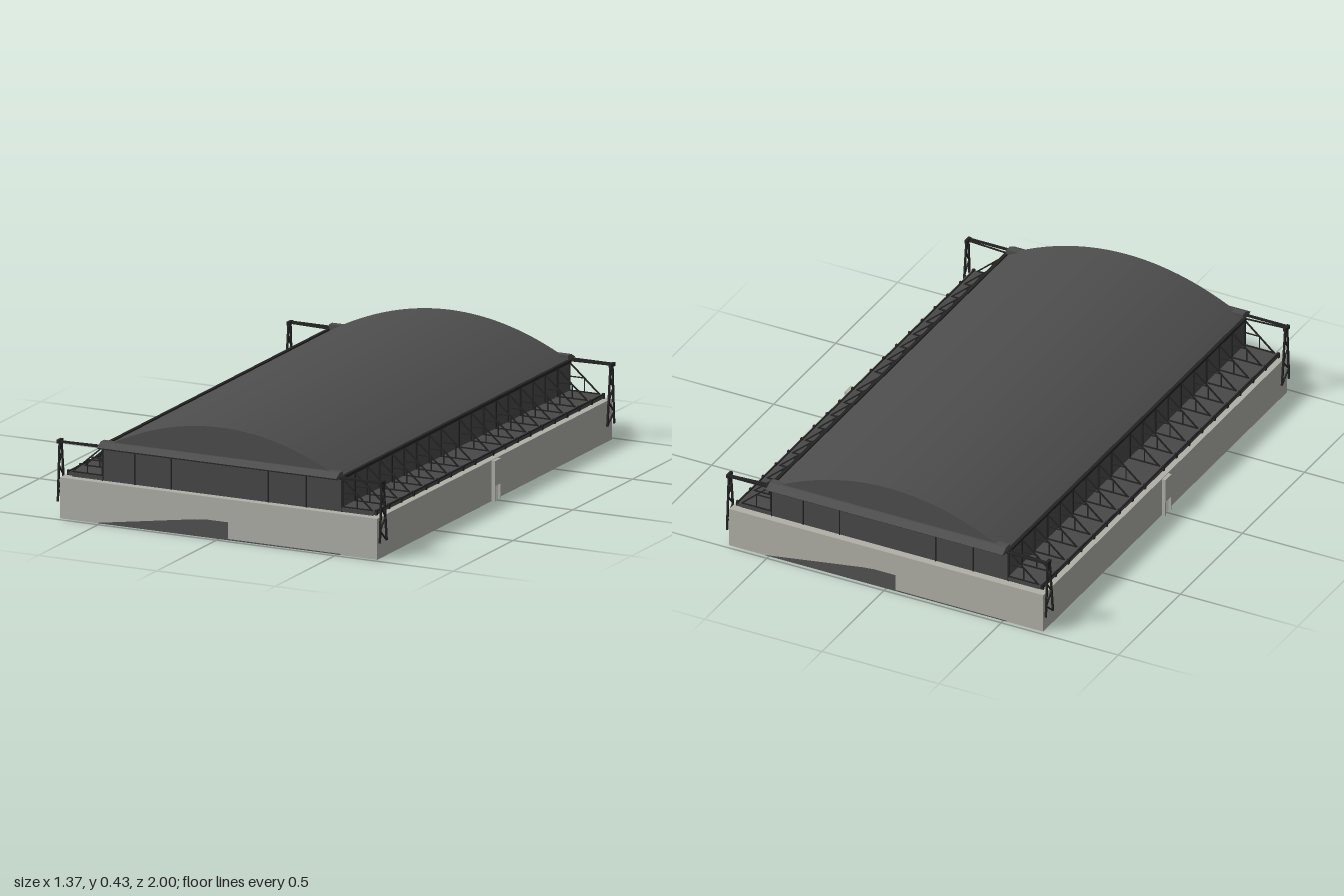
import * as THREE from 'three';

const mat = (name, color) => {
  const m = new THREE.MeshStandardMaterial({ color });
  m.name = name;
  return m;
};

export function createModel() {
  const concrete = mat('concrete', 0xb0b0a8);
  const roofGrey = mat('roof grey', 0x4d4d4d);
  const wallGrey = mat('wall grey', 0x484848);
  const rampGrey = mat('ramp grey', 0x525252);
  const steel = mat('dark steel', 0x242424);
  const white = mat('white', 0xf6f6f6);

  const model = new THREE.Group();
  model.name = 'arenaHall';

  const add = (parent, name, geometry, material) => {
    const mesh = new THREE.Mesh(geometry, material);
    mesh.name = name;
    parent.add(mesh);
    return mesh;
  };
  // Box given by its min and max corners
  const box = (parent, name, material, x0, x1, y0, y1, z0, z1) => {
    const mesh = add(parent, name, new THREE.BoxGeometry(x1 - x0, y1 - y0, z1 - z0), material);
    mesh.position.set((x0 + x1) / 2, (y0 + y1) / 2, (z0 + z1) / 2);
    return mesh;
  };
  // Thin square bar between two points
  const bar = (parent, name, a, b, t = 0.005) => {
    const p = new THREE.Vector3(...a), q = new THREE.Vector3(...b);
    const mesh = add(parent, name, new THREE.BoxGeometry(t, t, p.distanceTo(q)), steel);
    mesh.position.copy(p).add(q).multiplyScalar(0.5);
    mesh.lookAt(q);
    return mesh;
  };
  const outline = (points) => new THREE.Shape(points.map(([x, y]) => new THREE.Vector2(x, y)));

  // Plinth and main hall
  box(model, 'plinth', concrete, -0.67, 0.67, 0, 0.16, -0.982, 0.982);
  box(model, 'hallWalls', wallGrey, -0.505, 0.505, 0.16, 0.292, -0.95, 0.95);

  // Barrel roof
  const arch = [];
  for (let i = 0; i <= 32; i++) {
    const x = 0.505 - (1.01 * i) / 32;
    arch.push([x, 0.43 - 0.115 * (x / 0.46) ** 2]);
  }
  const roofGeo = new THREE.ExtrudeGeometry(outline([[-0.505, 0.288], [0.505, 0.288], ...arch]),
    { depth: 1.92, bevelEnabled: false });
  roofGeo.translate(0, 0, -0.96);
  add(model, 'barrelRoof', roofGeo, roofGrey);

  // One end and one long side; the other pair is the same turned half way round
  const buildHalf = (half) => {
    // End canopy with sloping front
    const canopyGeo = new THREE.ExtrudeGeometry(
      outline([[-0.94, 0.29], [-0.94, 0.317], [-0.968, 0.317], [-1, 0.3], [-0.99, 0.292]].reverse()),
      { depth: 1.01, bevelEnabled: false });
    canopyGeo.translate(0, 0, -0.505).rotateY(Math.PI / 2);
    add(half, 'endCanopy', canopyGeo, roofGrey);

    // End wall mullions
    for (const x of [-0.505, -0.37, -0.215, 0.195, 0.355, 0.505])
      box(half, 'mullion', steel, x - 0.002, x + 0.002, 0.16, 0.288, 0.949, 0.954);
    box(half, 'endWallRail', steel, -0.505, 0.505, 0.284, 0.288, 0.949, 0.954);

    // Ramp opening on the plinth end
    const ramp = add(half, 'rampOpening', new THREE.ShapeGeometry(outline(
      [[-0.52, 0.001], [0.515, 0.001], [0.515, 0.005], [0.04, 0.006], [0.04, 0.071],
        [-0.05, 0.071], [-0.1, 0.066]].concat([]))), rampGrey);
    ramp.position.z = 0.984;

    // Side terrace, its edge rail and the gutter
    box(half, 'terrace', wallGrey, 0.505, 0.65, 0.165, 0.178, -0.955, 0.955);
    box(half, 'terraceBase', roofGrey, 0.505, 0.635, 0.16, 0.166, -0.95, 0.95);
    bar(half, 'terraceRail', [0.648, 0.18, -0.955], [0.648, 0.18, 0.955]);
    box(half, 'gutter', steel, 0.5, 0.513, 0.288, 0.3, -0.955, 0.955);

    // Triangular braces along the side wall
    const places = [];
    for (let i = 0; i < 10; i++) places.push(-0.95 + i * 0.103);
    for (let i = 0; i < 9; i++) places.push(0.95 - i * 0.103);
    for (const z of places) {
      const brace = new THREE.Group();
      brace.name = 'sideBrace';
      half.add(brace);
      bar(brace, 'diagonal', [0.508, 0.288, z], [0.635, 0.178, z]);
      bar(brace, 'tie', [0.505, 0.235, z], [0.57, 0.235, z], 0.004);
      bar(brace, 'strut', [0.57, 0.178, z], [0.57, 0.235, z], 0.004);
      bar(brace, 'wallPost', [0.507, 0.165, z], [0.507, 0.288, z], 0.006);
      bar(brace, 'foot', [0.51, 0.18, z], [0.63, 0.18, z]);
      box(brace, 'edgeBlock', steel, 0.645, 0.655, 0.165, 0.185, z - 0.005, z + 0.005);
    }

    // Lattice pylons at the two corners of this end
    for (const s of [-1, 1]) {
      const pylon = new THREE.Group();
      pylon.name = 'cornerPylon';
      half.add(pylon);
      const x = s * 0.68;
      const inner = (t) => [x, 0.3 - 0.235 * t, 0.95 - 0.027 * t];
      const outer = (t) => [x, 0.3 - 0.235 * t, 0.965 + 0.015 * t];
      bar(pylon, 'innerLeg', inner(0), inner(1), 0.007);
      bar(pylon, 'outerLeg', outer(0), outer(1), 0.007);
      for (let i = 0; i < 5; i++) {
        const a = i / 5, b = (i + 1) / 5;
        bar(pylon, 'lacing', i % 2 ? inner(a) : outer(a), i % 2 ? outer(b) : inner(b));
      }
      bar(pylon, 'topBeam', [s * 0.49, 0.298, 0.972], [s * 0.685, 0.298, 0.972], 0.008);
      bar(pylon, 'beamStay', [s * 0.5, 0.296, 0.95], [s * 0.68, 0.296, 0.962]);
      box(pylon, 'beamCap', steel, x - 0.006, x + 0.006, 0.29, 0.304, 0.945, 0.978);
    }

    // Side doorway: lintel above a pale door
    box(half, 'doorLintel', concrete, 0.67, 0.685, 0.06, 0.158, -0.025, 0.025);
    box(half, 'doorJamb', concrete, 0.67, 0.684, 0, 0.06, -0.025, -0.02);
    box(half, 'doorJamb', concrete, 0.67, 0.684, 0, 0.06, 0.02, 0.025);
    box(half, 'sideDoor', white, 0.67, 0.675, 0, 0.06, -0.02, 0.02);
  };

  for (const turn of [0, Math.PI]) {
    const half = new THREE.Group();
    half.name = turn ? 'backHalf' : 'frontHalf';
    buildHalf(half);
    half.rotation.y = turn;
    model.add(half);
  }
  return model;
}
